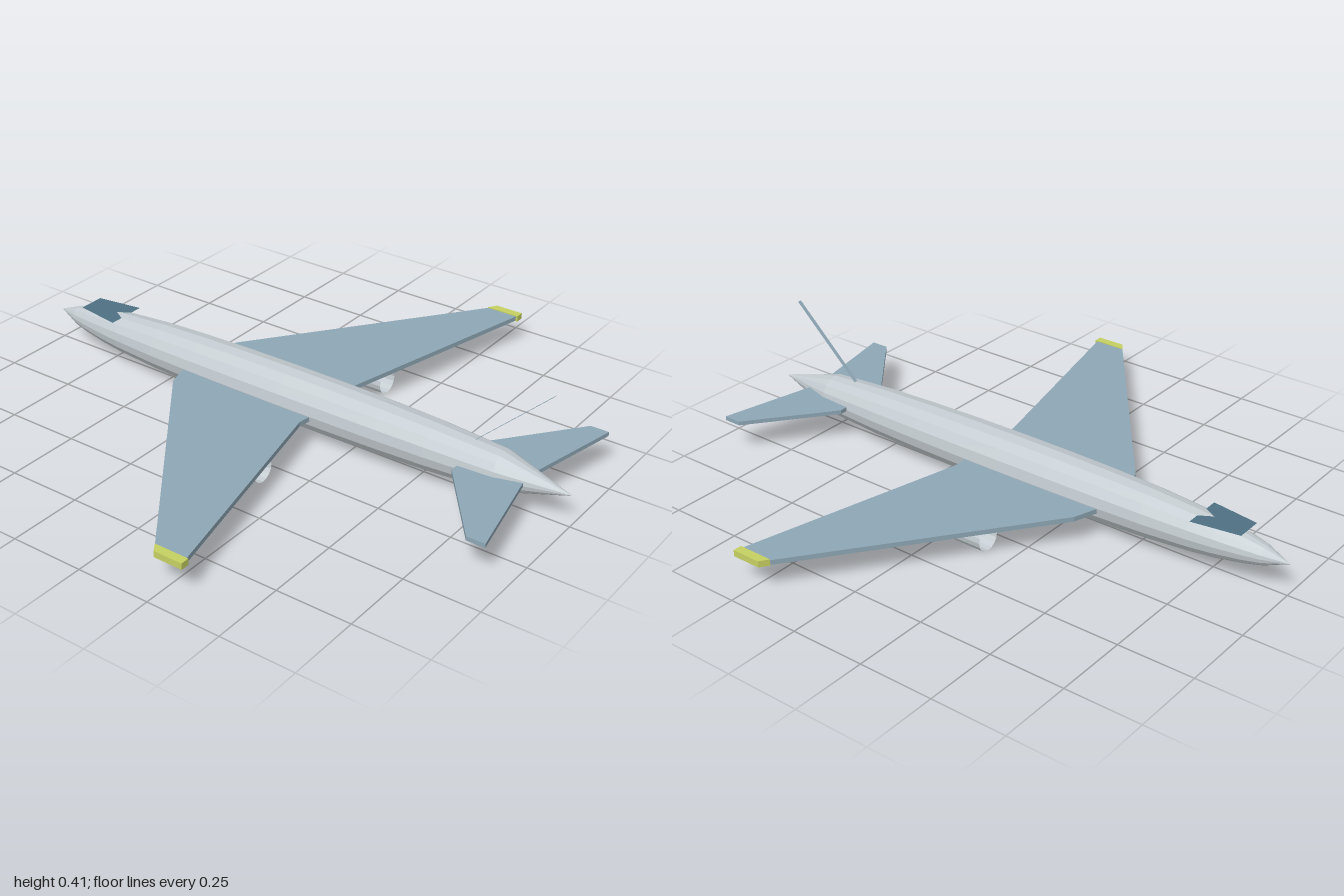
import * as THREE from 'three';

export function createModel() {
  const model = new THREE.Group();
  model.name = 'jetPlane';

  const make = (name, color, side = THREE.FrontSide) =>
    new THREE.MeshStandardMaterial({ name, color, side });
  const hull = make('paleGrey', 0xc3cbd0);
  const hullOpen = make('paleGreyOpen', 0xc3cbd0, THREE.DoubleSide);
  const blue = make('wingBlue', 0x8ea8b6);
  const blueOpen = make('finBlue', 0x8ea8b6, THREE.DoubleSide);
  const glass = make('cockpitGlass', 0x4f7184, THREE.DoubleSide);
  const lime = make('tipLime', 0xc6d162);

  const add = (name, geometry, material) => {
    const mesh = new THREE.Mesh(geometry, material);
    mesh.name = name;
    model.add(mesh);
    return mesh;
  };

  // Faceted geometry with one normal per face
  const faceted = (geometry) => {
    const flat = geometry.index ? geometry.toNonIndexed() : geometry;
    flat.computeVertexNormals();
    return flat;
  };

  // Horizontal slab from an (x, z) outline between two heights
  const slab = (outline, bottom, top) => {
    const shape = new THREE.Shape(outline.map(([x, z]) => new THREE.Vector2(x, z)));
    const geometry = new THREE.ExtrudeGeometry(shape, { depth: top - bottom, bevelEnabled: false });
    return geometry.rotateX(Math.PI / 2).translate(0, top, 0);
  };

  // Thin four-cornered sheet
  const sheet = (corners) => {
    const geometry = new THREE.BufferGeometry();
    geometry.setAttribute('position', new THREE.Float32BufferAttribute(corners.flat(), 3));
    geometry.setIndex([0, 1, 2, 0, 2, 3]);
    geometry.computeVertexNormals();
    return geometry;
  };

  // Fuselage: radius along z, nose at -z
  const profile = [
    [0, -1], [0.032, -0.92], [0.046, -0.86], [0.061, -0.77], [0.07, -0.69],
    [0.081, -0.53], [0.087, -0.36], [0.09, -0.18], [0.091, 0], [0.09, 0.18],
    [0.087, 0.36], [0.081, 0.54], [0.067, 0.77], [0, 1],
  ].map(([r, z]) => new THREE.Vector2(r, z));
  const body = new THREE.LatheGeometry(profile, 16).rotateX(Math.PI / 2).translate(0, 0.107, 0);
  add('fuselage', faceted(body), hull);

  // Cockpit window plate above the nose
  add('cockpitWindow', sheet([
    [-0.069, 0.171, -0.7], [0.069, 0.171, -0.7],
    [0.045, 0.171, -0.86], [-0.045, 0.171, -0.86],
  ]), glass);

  // Narrow raked fin strip
  add('tailFin', sheet([
    [-0.007, 0.175, 0.67], [-0.007, 0.41, 0.92],
    [0.007, 0.41, 0.92], [0.007, 0.175, 0.67],
  ]), blueOpen);

  // Paired parts
  for (const [side, s] of [['left', 1], ['right', -1]]) {
    const mirror = (outline) => outline.map(([x, z]) => [x * s, z]);

    add(side + 'Wing', slab(mirror([
      [0.05, -0.395], [0.165, -0.357], [0.893, 0.192], [0.893, 0.304], [0.13, 0.124], [0.05, 0.135],
    ]), 0.089, 0.105), blue);

    add(side + 'WingTip', slab(mirror([
      [0.893, 0.192], [0.922, 0.212], [0.922, 0.311], [0.893, 0.311],
    ]), 0.087, 0.108), lime);

    add(side + 'Tailplane', slab(mirror([
      [0.02, 0.655], [0.1, 0.655], [0.367, 0.866], [0.367, 0.928], [0.045, 0.86], [0.01, 0.86],
    ]), 0.103, 0.117), blue);

    // Open engine tube under the wing
    const tube = new THREE.CylinderGeometry(0.043, 0.043, 0.305, 16, 1, true).rotateX(Math.PI / 2);
    add(side + 'Engine', faceted(tube), hullOpen).position.set(0.338 * s, 0.043, -0.013);
  }

  return model;
}
